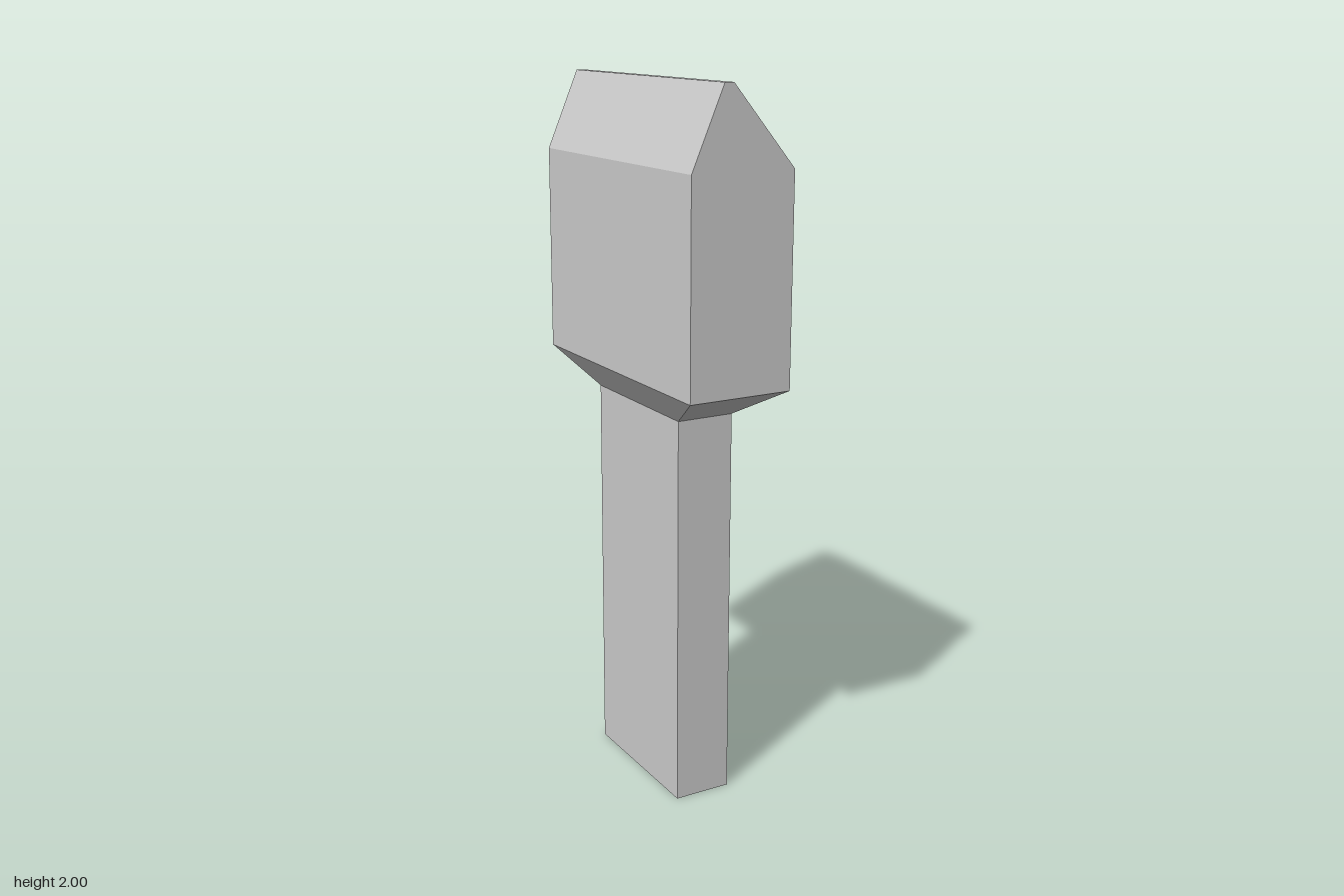
import * as THREE from 'three';

// Rectangular cross-section: height, x range, half depth
const section = (y, x0, x1, z) => [[x0, y, z], [x1, y, z], [x1, y, -z], [x0, y, -z]];

// Joins a stack of cross-sections with flat faces, with optional end caps
function loft(name, material, sections, capBottom = false, capTop = false) {
  const positions = [];
  const quad = (a, b, c, d) => positions.push(...a, ...b, ...c, ...a, ...c, ...d);
  for (let s = 0; s < sections.length - 1; s++) {
    const low = sections[s], high = sections[s + 1];
    for (let i = 0; i < 4; i++) {
      const j = (i + 1) % 4;
      quad(low[i], low[j], high[j], high[i]);
    }
  }
  if (capBottom) quad(...[...sections[0]].reverse());
  if (capTop) quad(...sections[sections.length - 1]);
  const geometry = new THREE.BufferGeometry();
  geometry.setAttribute('position', new THREE.Float32BufferAttribute(positions, 3));
  geometry.computeVertexNormals();
  const mesh = new THREE.Mesh(geometry, material);
  mesh.name = name;
  return mesh;
}

export function createModel() {
  const grey = new THREE.MeshStandardMaterial({ color: 0xcccccc });
  grey.name = 'light grey';

  const foot = section(0, -0.083, 0.083, 0.226);
  const neck = section(1.118, -0.083, 0.083, 0.226);
  const shoulder = section(1.212, -0.15, 0.15, 0.402);
  const eaves = section(1.785, -0.15, 0.15, 0.402);
  const ridge = section(2, -0.058, -0.032, 0.402);

  const model = new THREE.Group();
  model.name = 'wedgeHeadedPost';
  model.add(
    loft('shaft', grey, [foot, neck], true),
    loft('flaredCollar', grey, [neck, shoulder]),
    // Block with an off-centre wedge on top
    loft('wedgeHead', grey, [shoulder, eaves, ridge], false, true)
  );
  return model;
}
